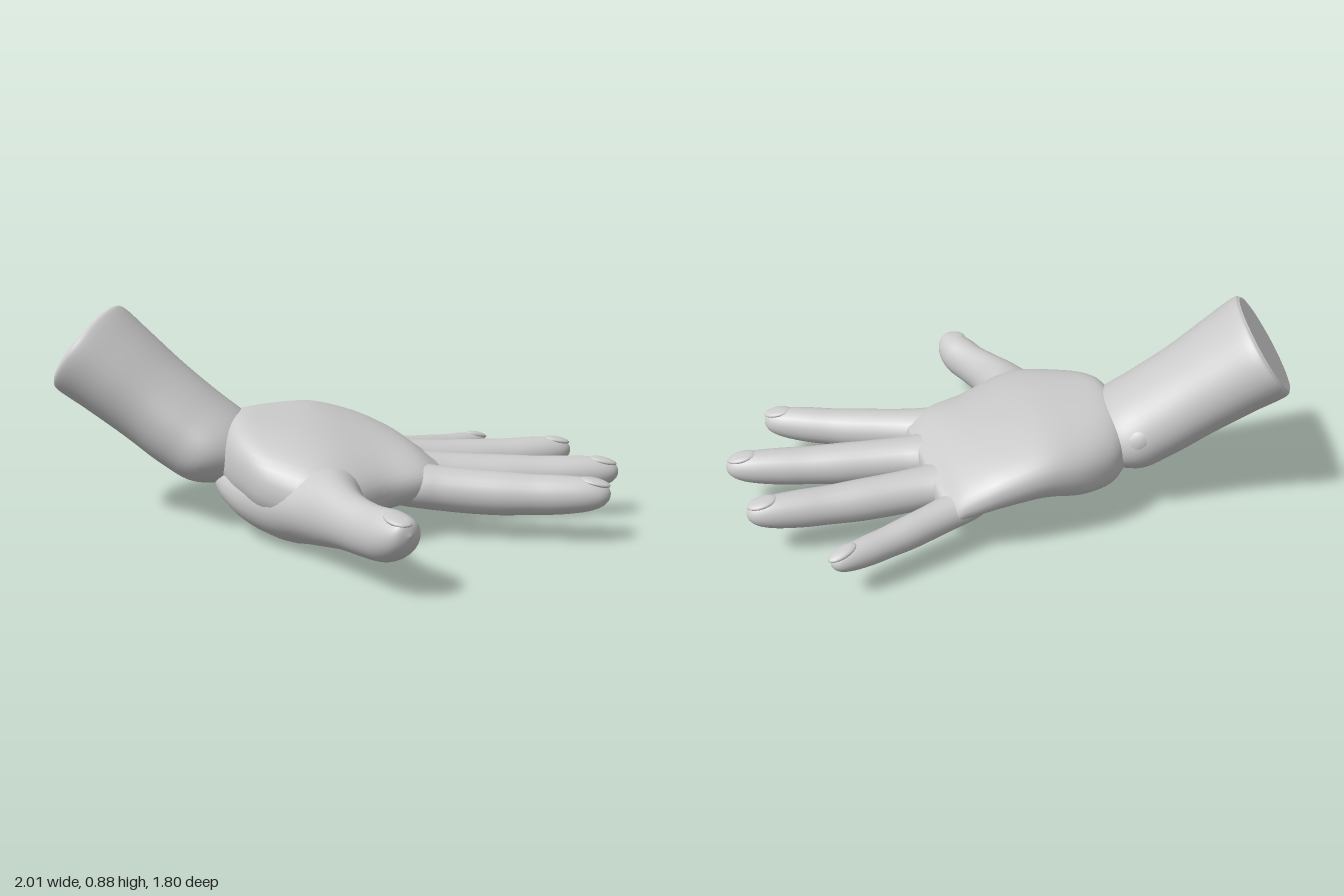
import * as THREE from 'three';

const V = (x, y, z) => new THREE.Vector3(x, y, z);
const UP = V(0, 1, 0);
const skin = new THREE.MeshStandardMaterial({ color: 0xcccccc, roughness: 0.8 });

// Smooth skin through oval sections { c: centre, side, up }; blunt < 1 makes them boxier
function loft(sections, { steps = 5, around = 32, blunt = 1 } = {}) {
  const curve = key => new THREE.CatmullRomCurve3(sections.map(s => s[key]), false, 'catmullrom', 0.5);
  const centre = curve('c'), side = curve('side'), up = curve('up');
  const rows = (sections.length - 1) * steps;
  const bend = v => Math.sign(v) * Math.abs(v) ** blunt;
  const pos = [], index = [];
  for (let i = 0; i <= rows; i++) {
    const t = i / rows, c = centre.getPoint(t), s = side.getPoint(t), u = up.getPoint(t);
    for (let j = 0; j < around; j++) {
      const a = (j / around) * Math.PI * 2;
      const p = c.clone().addScaledVector(s, bend(Math.cos(a))).addScaledVector(u, bend(Math.sin(a)));
      pos.push(p.x, p.y, p.z);
      if (i === rows) continue;
      const k = i * around, n = (j + 1) % around;
      index.push(k + j, k + n, k + around + j, k + n, k + around + n, k + around + j);
    }
  }
  const geometry = new THREE.BufferGeometry();
  geometry.setAttribute('position', new THREE.Float32BufferAttribute(pos, 3));
  geometry.setIndex(index);
  geometry.computeVertexNormals();
  return geometry;
}

function add(group, name, geometry) {
  const mesh = new THREE.Mesh(geometry, skin);
  mesh.name = name;
  group.add(mesh);
  return mesh;
}

const shrink = (s, k, shift = V(0, 0, 0)) => ({
  c: s.c.clone().add(shift), side: s.side.clone().multiplyScalar(k), up: s.up.clone().multiplyScalar(k),
});

// Palm section from the little-finger edge to the thumb edge; tilt lowers the thumb edge
const palmSection = (ax, az, bx, bz, top, bottom, tilt = 0) => ({
  c: V((ax + bx) / 2, (top + bottom) / 2, (az + bz) / 2),
  side: V((ax - bx) / 2, tilt, (az - bz) / 2),
  up: V(0, (top - bottom) / 2, 0),
});

// Round section standing square to a direction
function roundSection(c, dir, wide, high) {
  const side = UP.clone().cross(dir).normalize();
  return { c, side: side.clone().multiplyScalar(wide), up: dir.clone().cross(side).normalize().multiplyScalar(high) };
}

// Ellipsoid turned to point along a direction
function addOval(group, name, at, dir, width, height, length) {
  const oval = add(group, name, new THREE.SphereGeometry(1, 20, 14));
  oval.scale.set(width, height, length);
  oval.position.copy(at);
  oval.lookAt(at.clone().add(dir));
}

function finger(name, base, tip, r) {
  const group = new THREE.Group();
  group.name = name;
  const mid = base.clone().lerp(tip, 0.45).setY(0.155);
  const path = new THREE.QuadraticBezierCurve3(base, mid, tip);
  // Position along the finger and thickness there: flared root, swollen joints, round tip
  const profile = [[0, 0.5], [0.08, 0.9], [0.17, 1.15], [0.25, 1.16], [0.33, 1.04], [0.45, 0.97], [0.58, 0.95],
    [0.7, 0.88], [0.8, 0.85], [0.9, 0.75], [0.96, 0.57], [0.99, 0.3], [1, 0]];
  add(group, 'fingerSkin', loft(profile.map(([t, k]) =>
    roundSection(path.getPoint(t), path.getTangent(t), r * k, r * Math.min(k, 0.97))), { steps: 4, around: 24 }));
  const dir = path.getTangent(0.93);
  addOval(group, 'nail', path.getPoint(0.94).addScaledVector(UP, r * 0.53), dir.setY(dir.y - 0.28),
    r * 0.47, 0.015, 0.06);
  return group;
}

export function createModel() {
  const hand = new THREE.Group();
  hand.name = 'hand';

  // Forearm running down into the palm
  const across = V(0.707, 0, -0.707), armUp = V(0.41, 0.81, 0.41);
  const armSection = (c, wide, high) => ({
    c, side: across.clone().multiplyScalar(wide), up: armUp.clone().multiplyScalar(high),
  });
  const rim = armSection(V(-0.785, 0.703, -0.683), 0.275, 0.205);
  const cut = shrink(rim, 0.93, V(-0.016, 0.017, -0.016));
  add(hand, 'forearm', loft([
    cut,
    rim,
    armSection(V(-0.71, 0.618, -0.605), 0.258, 0.196),
    armSection(V(-0.61, 0.503, -0.505), 0.24, 0.185),
    armSection(V(-0.51, 0.39, -0.4), 0.24, 0.18),
    armSection(V(-0.42, 0.31, -0.31), 0.24, 0.165),
    armSection(V(-0.32, 0.26, -0.2), 0.14, 0.1),
  ], { around: 48 }));

  // Flat end of the forearm
  add(hand, 'forearmEnd', loft([shrink(cut, 0), cut], { steps: 1, around: 48 }));

  // Wrist bone on the little-finger side
  addOval(hand, 'wristBone', V(-0.335, 0.365, -0.475), V(-0.5, 0.6, -0.5), 0.07, 0.07, 0.1);

  // Palm from the blunt heel to the webs between the fingers
  const heel = palmSection(-0.28, -0.47, -0.53, -0.11, 0.425, 0.17);
  const knuckles = palmSection(0.415, -0.225, 0.14, 0.41, 0.29, 0.11);
  add(hand, 'palm', loft([
    shrink(heel, 0, V(-0.02, 0, -0.02)),
    shrink(heel, 0.75, V(-0.015, 0, -0.015)),
    heel,
    palmSection(-0.18, -0.495, -0.55, 0.01, 0.46, 0.125),
    palmSection(-0.03, -0.485, -0.535, 0.19, 0.46, 0.095, 0.03),
    palmSection(0.12, -0.44, -0.41, 0.4, 0.44, 0.1, 0.06),
    palmSection(0.27, -0.36, -0.14, 0.4, 0.395, 0.115, 0.04),
    palmSection(0.37, -0.28, 0.03, 0.42, 0.345, 0.115, 0.01),
    knuckles,
    shrink(knuckles, 0.75, V(0.03, -0.005, 0.012)),
    shrink(knuckles, 0, V(0.035, -0.005, 0.014)),
  ], { steps: 6, around: 48, blunt: 0.87 }));

  // Fingers: base inside the palm, tip, thickness
  [
    ['littleFinger', V(0.18, 0.23, -0.2), V(0.91, 0.172, -0.12), 0.068],
    ['ringFinger', V(0.11, 0.23, -0.11), V(1, 0.205, 0.32), 0.088],
    ['middleFinger', V(0.04, 0.23, 0.06), V(0.885, 0.195, 0.675), 0.09],
    ['indexFinger', V(-0.06, 0.23, 0.19), V(0.57, 0.2, 0.885), 0.09],
  ].forEach(spec => hand.add(finger(...spec)));

  // Thumb growing out of the broad pad at its root: centre x, y, z, half width, half height
  const thumb = new THREE.Group();
  thumb.name = 'thumb';
  const forward = V(-0.12, 0, 1);
  add(thumb, 'thumbSkin', loft([
    [-0.28, 0.25, -0.38, 0, 0], [-0.28, 0.235, -0.34, 0.12, 0.08], [-0.295, 0.205, -0.2, 0.215, 0.115],
    [-0.31, 0.18, -0.04, 0.235, 0.155], [-0.31, 0.172, 0.13, 0.225, 0.17], [-0.335, 0.185, 0.27, 0.188, 0.155],
    [-0.395, 0.197, 0.41, 0.122, 0.13], [-0.428, 0.2, 0.53, 0.092, 0.105], [-0.44, 0.2, 0.66, 0.083, 0.095],
    [-0.445, 0.21, 0.76, 0.086, 0.092], [-0.452, 0.225, 0.83, 0.072, 0.073], [-0.46, 0.24, 0.87, 0.045, 0.045],
    [-0.462, 0.243, 0.885, 0, 0],
  ].map(([x, y, z, w, h]) => roundSection(V(x, y, z), forward, w, h))));
  addOval(thumb, 'nail', V(-0.46, 0.285, 0.82), V(-0.1, -0.15, 1), 0.046, 0.015, 0.06);
  hand.add(thumb);

  return hand;
}
